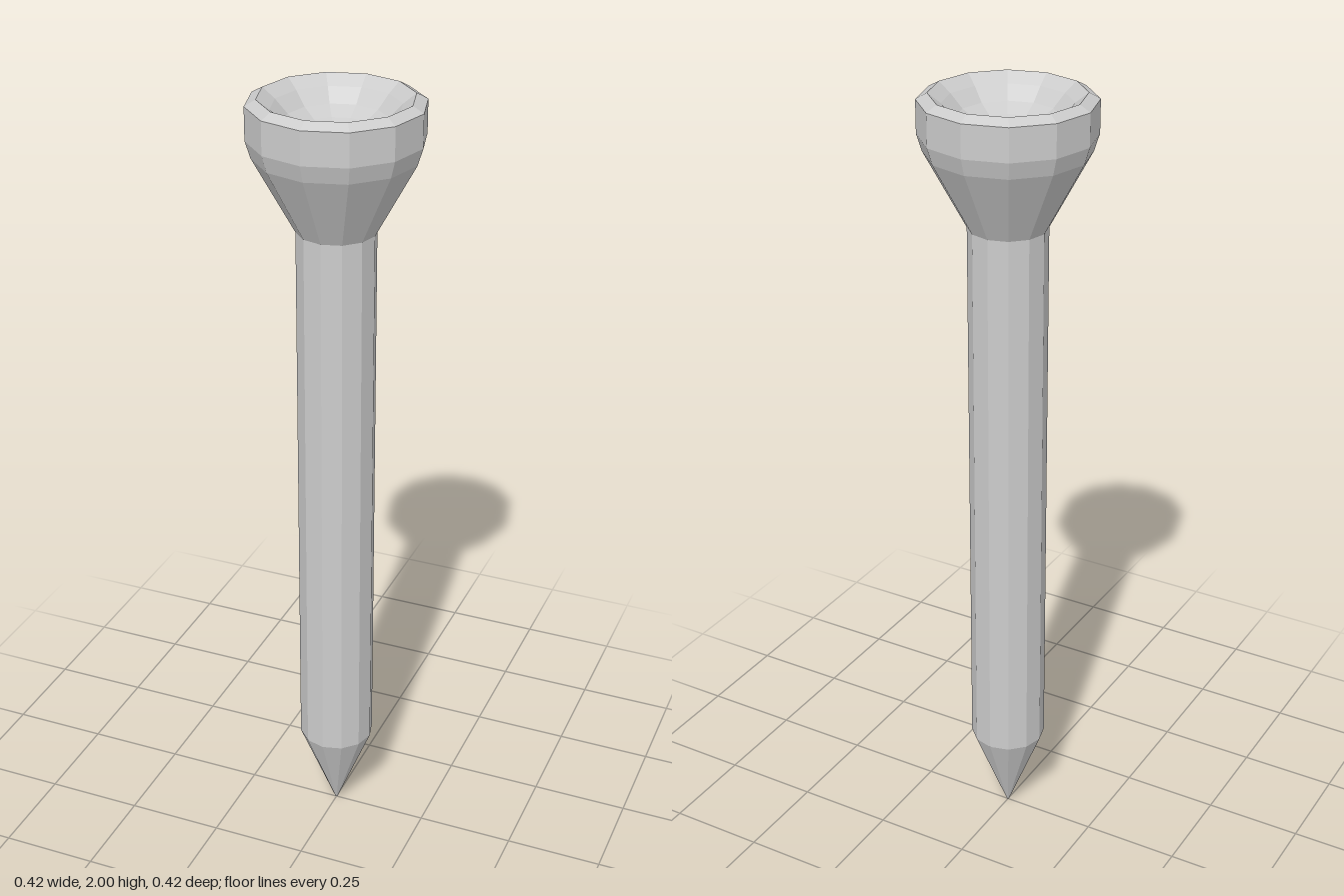
import * as THREE from 'three';

const SIDES = 12;

export function createModel() {
  const group = new THREE.Group();
  group.name = 'peg';
  const material = new THREE.MeshStandardMaterial({ color: 0xcccccc, flatShading: true });

  // Revolve a [radius, height] profile; each part starts where the last one ends
  function turned(name, profile) {
    const points = profile.map(([r, y]) => new THREE.Vector2(r, y));
    const mesh = new THREE.Mesh(new THREE.LatheGeometry(points, SIDES), material);
    mesh.name = name;
    group.add(mesh);
  }

  // Pointed end
  turned('tip', [[0, 0], [0.003, 0.002], [0.097, 0.238]]);

  // Straight stem
  turned('shaft', [[0.097, 0.238], [0.097, 1.677]]);

  // Flared head with a short collar and bevelled rim
  turned('head', [[0.097, 1.677], [0.198, 1.862], [0.211, 1.904], [0.211, 1.985], [0.184, 2]]);

  // Hollow cup in the top of the head
  turned('cup', [[0.184, 2], [0.153, 1.976], [0.121, 1.944], [0.085, 1.923], [0.043, 1.909], [0, 1.904]]);

  return group;
}
